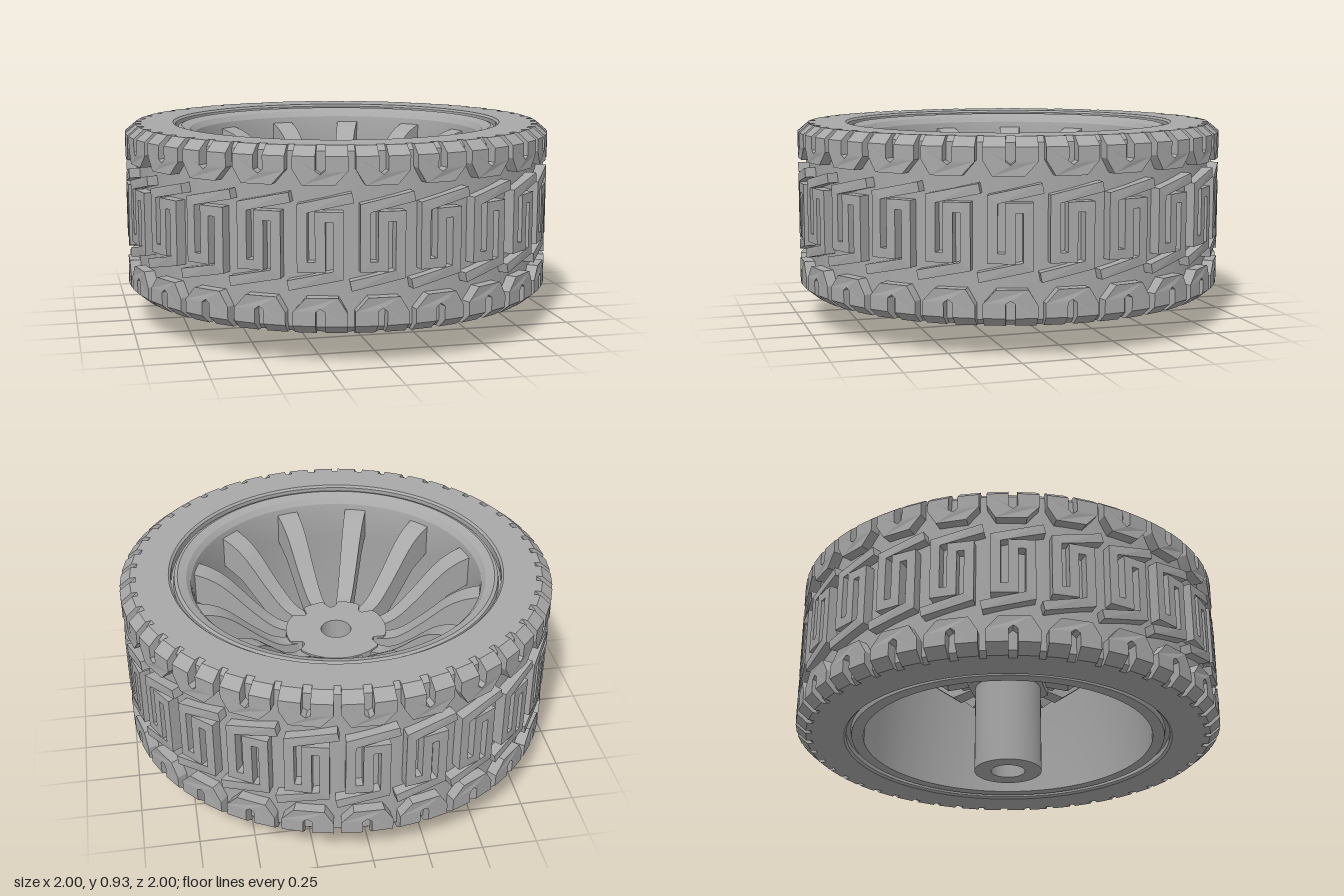
import * as THREE from 'three';
import { mergeGeometries, toCreasedNormals } from 'three/addons/utils/BufferGeometryUtils.js';

const rubberGrey = new THREE.MeshStandardMaterial({ color: 0xa8a8a8 });
rubberGrey.name = 'plainGrey';

const LUGS = 24, PITCH = (Math.PI * 2) / LUGS, PHASE = -0.03;
const MID_Y = 0.535;
const FLOOR = 0.92;

const vec = (p) => new THREE.Vector2(p[0], p[1]);

function part(name, geometry) {
  const mesh = new THREE.Mesh(geometry, rubberGrey);
  mesh.name = name;
  return mesh;
}

// Closed ring turned around the y axis; profile is counter-clockwise in (radius, y)
function ring(profile, segments = 96, crease = 0.5) {
  const pts = [...profile, profile[0]].map(vec);
  return toCreasedNormals(new THREE.LatheGeometry(pts, segments), crease);
}

// Outline of a constant-width ribbon with mitred corners
function ribbon(path, width) {
  const p = path.map(vec), left = [], right = [], h = width / 2;
  p.forEach((c, i) => {
    const d1 = (i > 0 ? c.clone().sub(p[i - 1]) : p[1].clone().sub(c)).normalize();
    const d2 = (i < p.length - 1 ? p[i + 1].clone().sub(c) : d1.clone()).normalize();
    const n1 = new THREE.Vector2(-d1.y, d1.x), n2 = new THREE.Vector2(-d2.y, d2.x);
    const m = n1.clone().add(n2).normalize();
    m.multiplyScalar(h / Math.max(0.4, m.dot(n1)));
    left.push(c.clone().add(m));
    right.push(c.clone().sub(m));
  });
  return new THREE.Shape([...right, ...left.reverse()]);
}

// Tread radius, rounded off at the shoulders
function treadRadius(y) {
  const over = Math.max(0, Math.abs(y - MID_Y) - 0.355);
  return 1 - 1.2 * over;
}

// Wrap a flat lug (x along the circumference) onto the tyre
function wrapLug(shape, turn = false) {
  const g = new THREE.ExtrudeGeometry(shape, { depth: 1, bevelEnabled: false });
  const flat = g.index ? g.toNonIndexed() : g;
  const pos = flat.attributes.position, s = turn ? -1 : 1;
  for (let i = 0; i < pos.count; i++) {
    const a = pos.getX(i) * s, y = MID_Y + pos.getY(i) * s;
    const r = FLOOR + pos.getZ(i) * (treadRadius(y) - FLOOR);
    pos.setXYZ(i, r * Math.sin(a), y, r * Math.cos(a));
  }
  flat.computeVertexNormals();
  return flat;
}

function repeatLugs(pieces) {
  const all = [];
  for (let i = 0; i < LUGS; i++)
    pieces.forEach((g) => all.push(g.clone().rotateY(i * PITCH + PHASE)));
  return mergeGeometries(all);
}

function createTyre() {
  const tyre = new THREE.Group();
  tyre.name = 'tyre';
  tyre.add(part('carcass', ring([
    [0.775, 0.14], [0.925, 0.14], [0.95, 0.165], [0.95, 0.905],
    [0.925, 0.93], [0.775, 0.93], [0.765, 0.92], [0.765, 0.15],
  ], 120)));

  // Folded S-shaped lugs around the middle
  const fold = [[0.135, 0.185], [-0.075, 0.14], [-0.075, -0.105], [0, -0.105],
    [0, 0.105], [0.075, 0.105], [0.075, -0.14], [-0.135, -0.185]];
  tyre.add(part('centreLugs', repeatLugs([wrapLug(ribbon(fold, 0.043))])));

  // Shoulder lugs: slotted block plus two legs curving over the edge
  const body = new THREE.Shape([[-0.115, 0.355], [-0.115, 0.3], [-0.075, 0.235], [0.06, 0.235],
    [0.115, 0.295], [0.115, 0.355], [0.02, 0.355], [0.02, 0.295], [0, 0.28], [-0.02, 0.295],
    [-0.02, 0.355]].map(vec));
  const leg = (a, b) => new THREE.Shape([[a, 0.355], [b, 0.355], [b, 0.395], [a, 0.395]].map(vec));
  const shoulder = [body, leg(-0.115, -0.02), leg(0.02, 0.115)];
  tyre.add(part('upperShoulderLugs', repeatLugs(shoulder.map((s) => wrapLug(s)))));
  tyre.add(part('lowerShoulderLugs', repeatLugs(shoulder.map((s) => wrapLug(s, true)))));
  return tyre;
}

// Curved spoke, narrowing towards the hub
function spokeGeometry() {
  const top = new THREE.SplineCurve([[0.68, 0.85], [0.6, 0.825], [0.52, 0.775], [0.4, 0.66],
    [0.29, 0.575], [0.18, 0.555]].map(vec)).getPoints(20);
  const outline = [[0.18, 0.45], [0.29, 0.43], [0.42, 0.53], [0.56, 0.65], [0.68, 0.7]].map(vec);
  const g = new THREE.ExtrudeGeometry(new THREE.Shape([...outline, ...top]),
    { depth: 1, bevelEnabled: false });
  const pos = g.attributes.position;
  for (let i = 0; i < pos.count; i++) {
    const width = 0.065 + 0.08 * (pos.getX(i) - 0.18);
    pos.setZ(i, (pos.getZ(i) - 0.5) * width);
  }
  return toCreasedNormals(g, 0.4);
}

// Hub plate with rounded notches between some spokes
function hubGeometry() {
  const notches = [27, 147, 222, 267, 312].map(THREE.MathUtils.degToRad);
  const pts = [];
  for (let i = 0; i < 120; i++) {
    const a = (i / 120) * Math.PI * 2;
    let dip = 0;
    notches.forEach((n) => {
      const d = Math.atan2(Math.sin(a - n), Math.cos(a - n)) / 0.13;
      dip = Math.max(dip, Math.exp(-d * d * d * d));
    });
    const r = 0.24 - 0.05 * dip;
    pts.push(new THREE.Vector2(r * Math.cos(a), r * Math.sin(a)));
  }
  const shape = new THREE.Shape(pts);
  shape.holes.push(new THREE.Path().absarc(0, 0, 0.072, 0, Math.PI * 2, true));
  const g = new THREE.ExtrudeGeometry(shape, { depth: 0.1, bevelEnabled: false, curveSegments: 32 });
  g.rotateX(-Math.PI / 2).translate(0, 0.47, 0);
  return toCreasedNormals(g, 0.6);
}

export function createModel() {
  const model = new THREE.Group();
  model.name = 'wheel';
  model.add(createTyre());

  // Rim barrel with stepped lips
  model.add(part('rim', ring([
    [0.685, 0.15], [0.74, 0.15], [0.745, 0.175], [0.77, 0.175], [0.77, 0.885], [0.755, 0.885],
    [0.75, 0.91], [0.735, 0.915], [0.695, 0.9], [0.675, 0.875], [0.668, 0.83], [0.668, 0.7],
    [0.68, 0.6],
  ])));

  const spokes = new THREE.Group();
  spokes.name = 'spokes';
  const spoke = spokeGeometry();
  for (let i = 0; i < 12; i++) {
    const s = part('spoke', spoke);
    s.rotation.y = THREE.MathUtils.degToRad(12 + 30 * i);
    spokes.add(s);
  }
  model.add(spokes);

  // Hub, flange, hexagonal collar and hollow axle
  model.add(part('hub', hubGeometry()));
  model.add(part('hubFlange', ring([[0.15, 0.455], [0.235, 0.455], [0.235, 0.475], [0.15, 0.475]], 48)));
  model.add(part('hexCollar', ring([[0.14, 0.42], [0.205, 0.42], [0.205, 0.46], [0.14, 0.46]], 6)));
  model.add(part('axle', ring([[0.08, 0], [0.158, 0], [0.158, 0.48], [0.072, 0.48], [0.072, 0.3]], 48)));
  return model;
}
